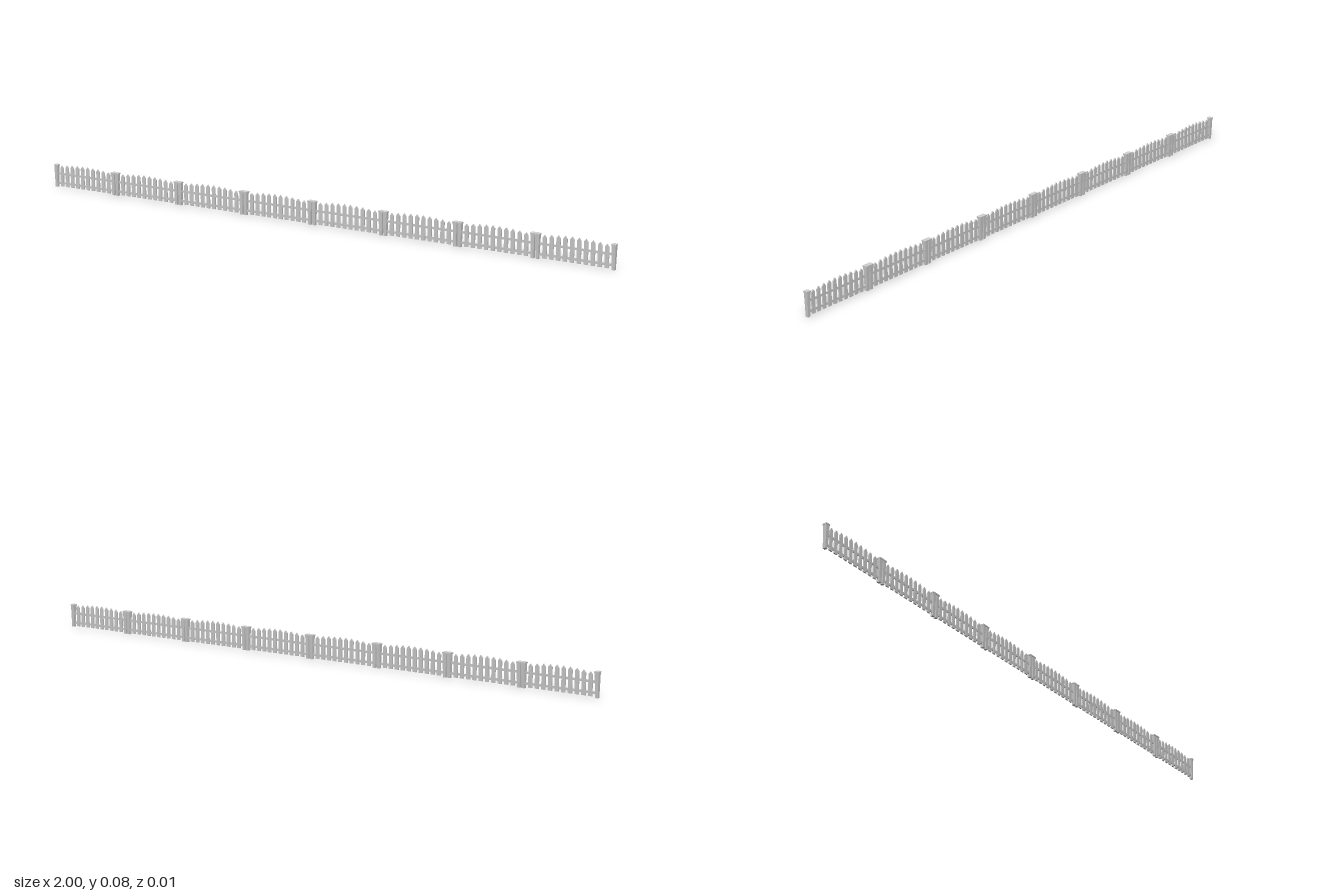
import * as THREE from 'three';

const PANELS = 8, PANEL_W = 0.25, PICKETS = 10, PITCH = 0.0213;
const material = new THREE.MeshStandardMaterial({ color: 0xcccccc, flatShading: true });

function part(name, geometry, x, y, z = 0) {
  const mesh = new THREE.Mesh(geometry, material);
  mesh.name = name;
  mesh.position.set(x, y, z);
  return mesh;
}

// Square prism with different widths at the top and bottom, standing on y = 0
function taperedBox(top, bottom, height) {
  const g = new THREE.CylinderGeometry(top * Math.SQRT1_2, bottom * Math.SQRT1_2, height, 4);
  return g.rotateY(Math.PI / 4).translate(0, height / 2, 0);
}

// Flat board with a pointed top
function picketGeometry(height) {
  const w = 0.0062, depth = 0.004, shoulder = height - 0.008;
  const shape = new THREE.Shape();
  shape.moveTo(-w, 0);
  shape.lineTo(w, 0);
  shape.lineTo(w, shoulder);
  shape.lineTo(0, height);
  shape.lineTo(-w, shoulder);
  shape.closePath();
  return new THREE.ExtrudeGeometry(shape, { depth, bevelEnabled: false }).translate(0, 0, -depth / 2);
}

const postGeometry = taperedBox(0.0125, 0.009, 0.071);
const capGeometry = new THREE.BoxGeometry(0.015, 0.004, 0.015);
const capTopGeometry = taperedBox(0.006, 0.013, 0.002);
const railGeometry = new THREE.BoxGeometry(0.228, 0.007, 0.003);

function createPost(x) {
  const post = new THREE.Group();
  post.name = 'post';
  post.add(
    part('postShaft', postGeometry, 0, 0),
    part('postCap', capGeometry, 0, 0.073),
    part('postCapTop', capTopGeometry, 0, 0.075),
  );
  post.position.x = x;
  return post;
}

function createPanel() {
  const panel = new THREE.Group();
  panel.name = 'fencePanel';
  for (const side of [-1, 1]) panel.add(createPost(side * (PANEL_W / 2 - 0.0075)));

  // Horizontal rails running through the picket line
  for (const y of [0.014, 0.045]) panel.add(part('rail', railGeometry, 0, y));

  // Pickets rise in a gentle arch towards the middle
  for (let i = 0; i < PICKETS; i++) {
    const t = i - (PICKETS - 1) / 2;
    const top = 0.079 - 0.008 * (t / (PICKETS / 2)) ** 2;
    panel.add(part('picket', picketGeometry(top - 0.003), t * PITCH, 0.003));
  }
  return panel;
}

export function createModel() {
  const fence = new THREE.Group();
  fence.name = 'picketFence';
  for (let i = 0; i < PANELS; i++) {
    const panel = createPanel();
    panel.position.x = (i - (PANELS - 1) / 2) * PANEL_W;
    fence.add(panel);
  }
  return fence;
}
